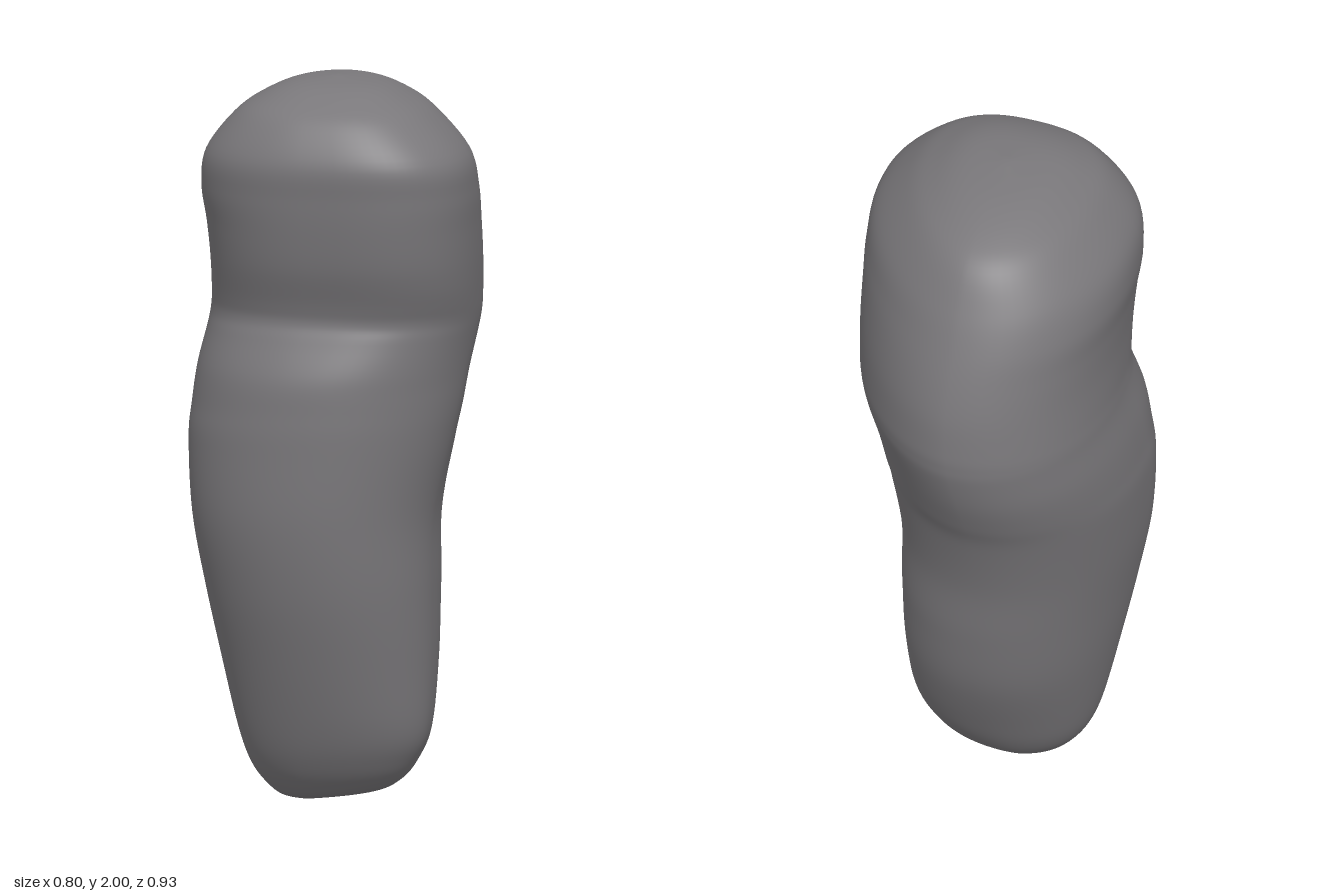
import * as THREE from 'three';
import { mergeVertices } from 'three/addons/utils/BufferGeometryUtils.js';

// Extents by height: y, xMin, xMax, zMin, zMax
const ROWS = [
  [0, -0.07, -0.07, 0.12, 0.12],
  [0.01, -0.14, 0.11, 0.05, 0.19],
  [0.04, -0.185, 0.185, -0.005, 0.23],
  [0.1, -0.23, 0.232, -0.055, 0.272],
  [0.2, -0.265, 0.267, -0.11, 0.316],
  [0.4, -0.31, 0.28, -0.2, 0.378],
  [0.6, -0.35, 0.284, -0.25, 0.43],
  [0.8, -0.385, 0.29, -0.285, 0.46],
  [1.0, -0.4, 0.33, -0.345, 0.465],
  [1.1, -0.395, 0.35, -0.39, 0.462],
  [1.2, -0.385, 0.365, -0.43, 0.452],
  [1.3, -0.368, 0.38, -0.458, 0.412],
  [1.35, -0.362, 0.386, -0.465, 0.392],
  [1.4, -0.358, 0.39, -0.465, 0.4],
  [1.5, -0.355, 0.396, -0.455, 0.432],
  [1.6, -0.36, 0.398, -0.43, 0.45],
  [1.7, -0.37, 0.398, -0.393, 0.46],
  [1.8, -0.352, 0.38, -0.345, 0.462],
  [1.9, -0.275, 0.287, -0.28, 0.41],
  [1.95, -0.205, 0.21, -0.2, 0.34],
  [1.985, -0.12, 0.125, -0.07, 0.24],
  [2, 0, 0, 0.1, 0.1],
];

const { lerp, smoothstep } = THREE.MathUtils;

// Superellipse component: rounder or squarer than a circle
const power = (v, n) => Math.sign(v) * Math.pow(Math.abs(v), 2 / n);

function loft(around, steps) {
  const spline = (ix, iz) => new THREE.CatmullRomCurve3(
    ROWS.map((r) => new THREE.Vector3(r[ix], r[0], r[iz])), false, 'catmullrom', 0.5);
  const low = spline(1, 3), high = spline(2, 4);
  const positions = [], index = [];
  for (let j = 0; j <= steps; j++) {
    const a = low.getPoint(j / steps), b = high.getPoint(j / steps);
    const cx = (a.x + b.x) / 2, rx = (b.x - a.x) / 2;
    const cz = lerp(a.z, b.z, 0.6);
    // Below the crease the section is oval; above it the front is squarer,
    // the back left flatter, and the whole section leans
    const cap = smoothstep(a.y, 1.15, 1.45);
    const bulge = smoothstep(a.y, 0.6, 1.25);
    for (let i = 0; i < around; i++) {
      const t = (i / around) * Math.PI * 2;
      const c = Math.cos(t), s = Math.sin(t);
      const n = s > 0 ? lerp(2.05, 2.5, cap) : c > 0 ? lerp(2.15, 1.8, bulge) : 2.05;
      const lean = s > 0 ? 0.08 * cap : 0.13 * bulge;
      const depth = power(s, n);
      const x = cx + rx * (power(c, n) + lean * depth);
      const z = cz + (s > 0 ? b.z - cz : cz - a.z) * depth;
      // Sole rises slightly towards the left
      const lift = 0.11 * Math.max(0, x + 0.07) * Math.max(0, 1 - a.y / 0.25);
      positions.push(x, a.y + lift, z);
      if (j < steps) {
        const k = (i + 1) % around, p = j * around, q = p + around;
        index.push(p + i, q + i, p + k, p + k, q + i, q + k);
      }
    }
  }
  let geometry = new THREE.BufferGeometry();
  geometry.setAttribute('position', new THREE.Float32BufferAttribute(positions, 3));
  geometry.setIndex(index);
  geometry = mergeVertices(geometry, 1e-5);
  geometry.computeVertexNormals();
  return geometry;
}

export function createModel() {
  const group = new THREE.Group();
  group.name = 'roundedStub';
  // One smooth tapering body with a domed cap and a crease across the front
  const body = new THREE.Mesh(loft(80, 126), new THREE.MeshStandardMaterial({ color: 0x7a787b }));
  body.name = 'body';
  group.add(body);
  return group;
}
